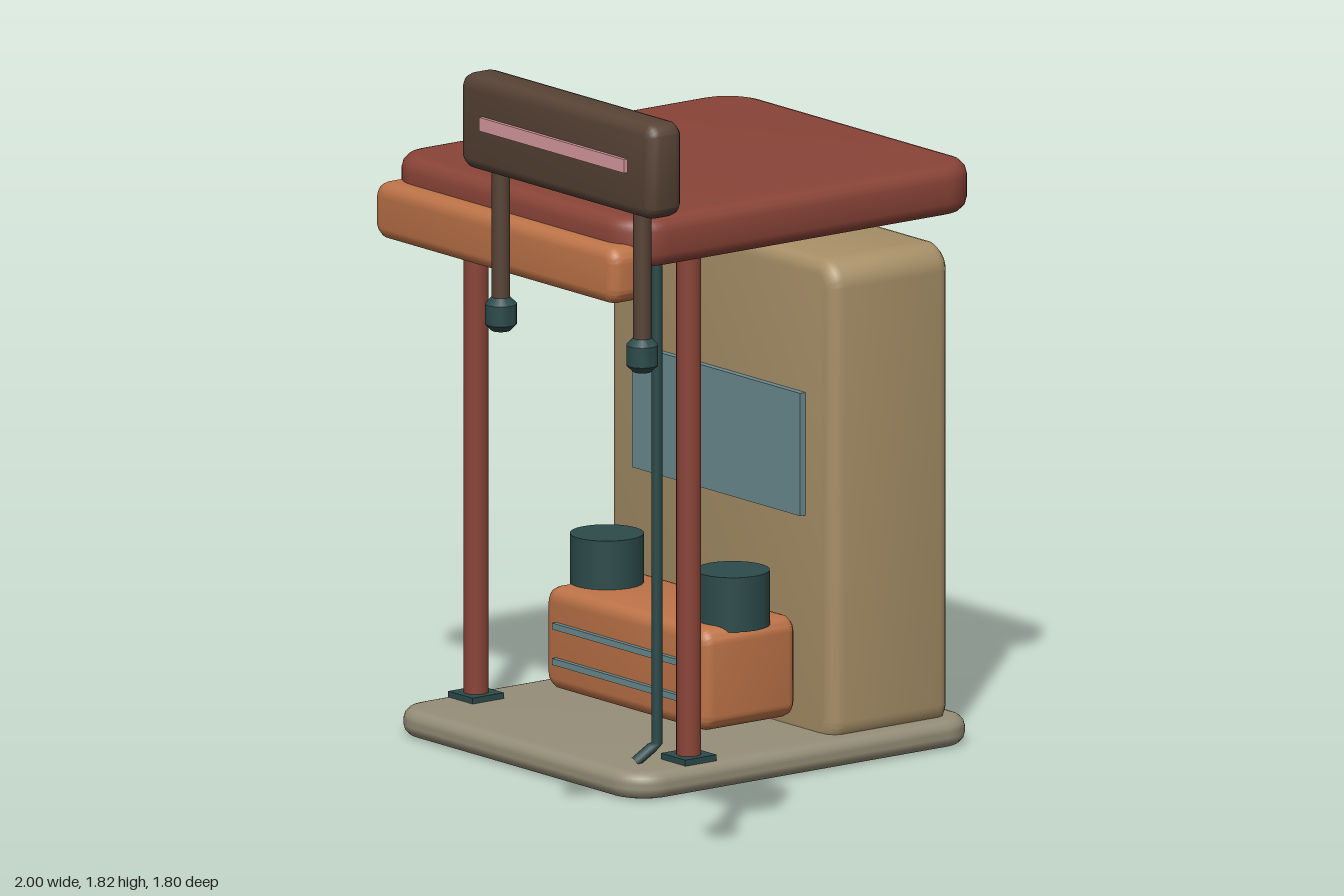
import * as THREE from 'three';
import { toCreasedNormals } from 'three/addons/utils/BufferGeometryUtils.js';

const material = (name, color) => {
  const m = new THREE.MeshStandardMaterial({ color });
  m.name = name;
  return m;
};

// Rounded rectangle extruded along z with bevelled rims, centred on the origin
function slab(w, h, d, radius, bevel) {
  const x = w / 2 - bevel, y = h / 2 - bevel, r = Math.max(radius - bevel, 0.004);
  const s = new THREE.Shape();
  s.moveTo(-x + r, -y);
  s.lineTo(x - r, -y);
  s.absarc(x - r, -y + r, r, -Math.PI / 2, 0);
  s.lineTo(x, y - r);
  s.absarc(x - r, y - r, r, 0, Math.PI / 2);
  s.lineTo(-x + r, y);
  s.absarc(-x + r, y - r, r, Math.PI / 2, Math.PI);
  s.lineTo(-x, -y + r);
  s.absarc(-x + r, -y + r, r, Math.PI, Math.PI * 1.5);
  const g = new THREE.ExtrudeGeometry(s, {
    depth: d - 2 * bevel, bevelThickness: bevel, bevelSize: bevel, bevelSegments: 3, curveSegments: 6,
  });
  g.translate(0, 0, -(d - 2 * bevel) / 2);
  return toCreasedNormals(g, 0.6);
}

export function createModel() {
  const model = new THREE.Group();
  const brick = material('brick red', 0x8a4438);
  const tan = material('tan', 0xa89068);
  const orange = material('burnt orange', 0xbe7448);
  const teal = material('dark teal', 0x2c4a4a);
  const brown = material('dark brown', 0x574336);
  const pink = material('pink', 0xd89aa0);
  const slate = material('slate blue', 0x6a8a90);
  const stone = material('stone', 0x968e78);

  const add = (name, geometry, mat, x, y, z, parent = model) => {
    const mesh = new THREE.Mesh(geometry, mat);
    mesh.name = name;
    mesh.position.set(x, y, z);
    parent.add(mesh);
    return mesh;
  };
  const cx = -0.565; // centre line of the shelter

  // Floor and roof, rounded in plan
  const floor = slab(0.87, 0.94, 0.06, 0.09, 0.025).rotateX(-Math.PI / 2);
  add('floor', floor, stone, cx, 0.03, -0.42);
  const roof = slab(0.87, 0.96, 0.11, 0.1, 0.03).rotateX(-Math.PI / 2);
  add('roof', roof, brick, cx, 1.225, -0.42);
  add('fascia', slab(0.84, 0.125, 0.1, 0.035, 0.025), orange, cx, 1.162, 0.05);

  // Rear cabinet with its panel
  add('cabinet', slab(0.785, 1.07, 0.32, 0.06, 0.03), tan, cx, 0.565, -0.68);
  add('panel', new THREE.BoxGeometry(0.585, 0.27, 0.015), slate, cx + 0.002, 0.665, -0.5125);

  // Chest with two trim bars and a pair of drums on top
  add('chest', slab(0.562, 0.225, 0.252, 0.035, 0.025), orange, -0.561, 0.197, -0.381);
  for (const y of [0.15, 0.228])
    add('chestTrim', new THREE.BoxGeometry(0.475, 0.014, 0.012), slate, -0.563, y, -0.25);
  for (const x of [-0.783, -0.345])
    add('drum', new THREE.CylinderGeometry(0.08, 0.08, 0.12, 24), teal, x, 0.357, -0.38);

  // Front posts with foot plates, and ceiling lamps
  for (const side of [-1, 1]) {
    const x = cx + side * 0.37;
    add('post', new THREE.CylinderGeometry(0.027, 0.027, 1.14, 16), brick, x, 0.615, -0.143);
    add('footPlate', new THREE.BoxGeometry(0.085, 0.014, 0.085), teal, x, 0.066, -0.143);
    const lampX = cx + side * 0.3;
    add('lamp', new THREE.CylinderGeometry(0.045, 0.045, 0.018, 20), teal, lampX, 1.163, -0.215);
    add('lampLens', new THREE.CylinderGeometry(0.036, 0.036, 0.004, 20), stone, lampX, 1.153, -0.215);
  }

  // Gutter pipe under the roof and down to the floor
  const path = new THREE.CurvePath();
  const points = [[-0.93, 1.162, -0.08], [-0.225, 1.162, -0.08], [-0.225, 0.1, -0.08], [-0.242, 0.062, -0.035]]
    .map((p) => new THREE.Vector3(...p));
  for (let i = 1; i < points.length; i++) path.add(new THREE.LineCurve3(points[i - 1], points[i]));
  add('gutterPipe', new THREE.TubeGeometry(path, 120, 0.012, 8), teal, 0, 0, 0);

  // Hanging sign with two hangers and knobs
  const sign = new THREE.Group();
  sign.name = 'sign';
  sign.position.set(0.662, 0, 0.845);
  model.add(sign);
  add('signBoard', slab(0.675, 0.21, 0.09, 0.035, 0.025), brown, 0, 1.715, 0, sign);
  add('signStripe', new THREE.BoxGeometry(0.505, 0.03, 0.009), pink, 0, 1.72, 0.0495, sign);
  const knobProfile = [[0, -0.037], [0.02, -0.037], [0.035, -0.022], [0.035, 0.022], [0.02, 0.037], [0, 0.037]]
    .map(([r, y]) => new THREE.Vector2(r, y));
  const knob = toCreasedNormals(new THREE.LatheGeometry(knobProfile, 14), 0.6);
  for (const x of [-0.246, 0.246]) {
    add('signLeg', new THREE.CylinderGeometry(0.02, 0.02, 0.34, 14), brown, x, 1.47, 0, sign);
    add('signKnob', knob, teal, x, 1.297, 0, sign);
  }
  return model;
}
